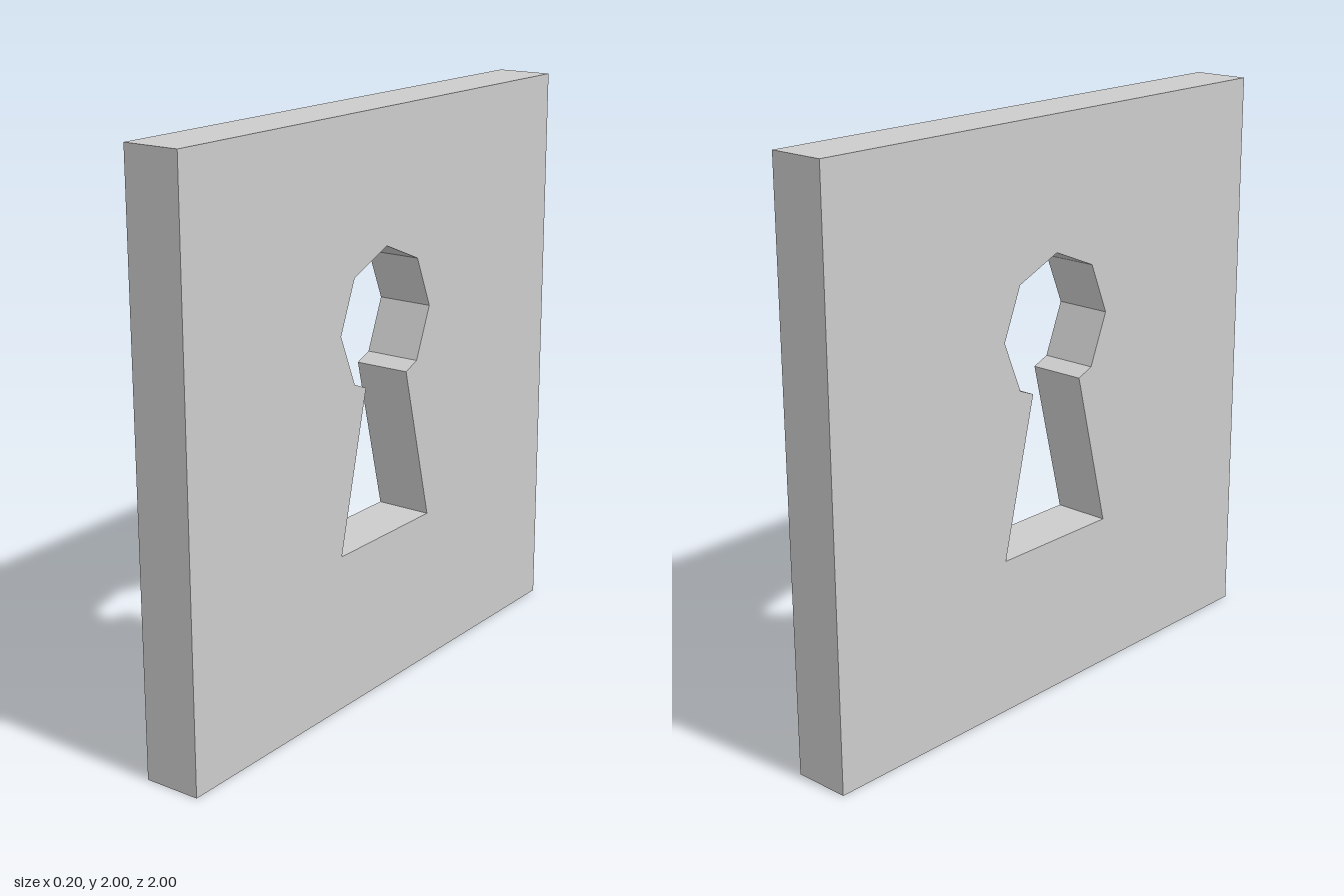
import * as THREE from 'three';

export function createModel() {
  const group = new THREE.Group();
  const thickness = 0.2;

  // Square plate outline
  const plate = new THREE.Shape([
    new THREE.Vector2(-1, 0), new THREE.Vector2(1, 0),
    new THREE.Vector2(1, 2), new THREE.Vector2(-1, 2),
  ]);

  // One half of the keyhole: octagonal head, then neck and flared foot
  const half = [];
  for (let i = 0; i <= 3; i++) {
    const a = (i * Math.PI) / 4;
    half.push([0.25 * Math.sin(a), 1.3 + 0.25 * Math.cos(a)]);
  }
  half.push([0.115, 1.098], [0.25, 0.55]);

  // Mirror it, without repeating the top point
  const mirrored = half.slice(1).reverse().map(([u, y]) => [-u, y]);
  const outline = [...half, ...mirrored].map(([u, y]) => new THREE.Vector2(u, y));
  plate.holes.push(new THREE.Path(outline));

  // Extrude through the thickness and turn the plate to face sideways
  const geometry = new THREE.ExtrudeGeometry(plate, { depth: thickness, bevelEnabled: false });
  geometry.translate(0, 0, -thickness / 2);
  geometry.rotateY(Math.PI / 2);

  const mesh = new THREE.Mesh(
    geometry,
    new THREE.MeshStandardMaterial({ color: 0xcccccc, flatShading: true }),
  );
  mesh.name = 'keyholePlate';
  group.add(mesh);
  return group;
}
